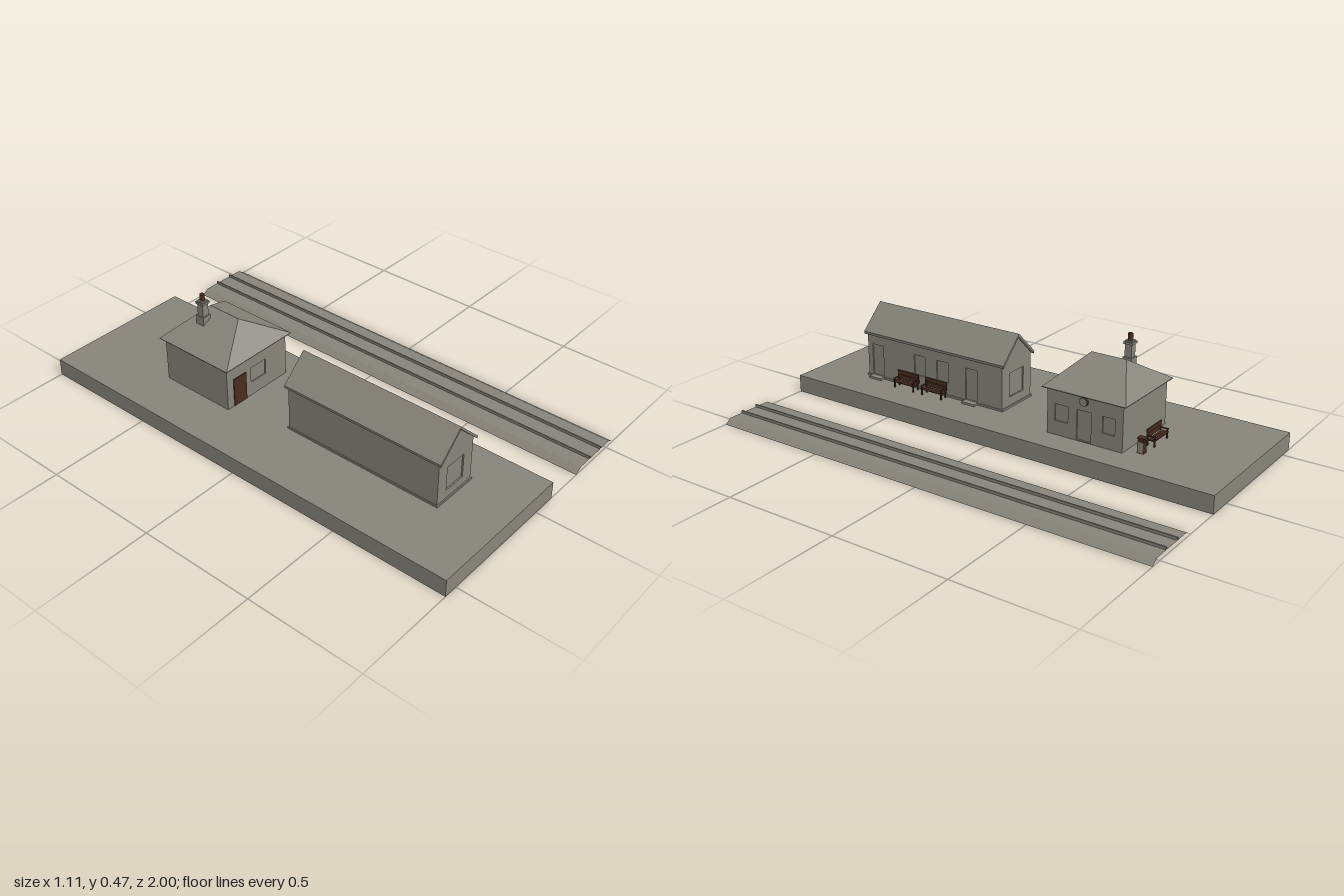
import * as THREE from 'three';
import { ConvexGeometry } from 'three/addons/geometries/ConvexGeometry.js';

const stone = new THREE.MeshStandardMaterial({ color: 0x86847a, side: THREE.DoubleSide });
stone.name = 'weathered stone';
const wood = new THREE.MeshStandardMaterial({ color: 0x4a2c20 });
wood.name = 'dark brown';

const GROUND = 0.075; // platform surface
const SKIN = 0.006; // depth of window and door recesses

function add(parent, name, geometry, material, x = 0, y = 0, z = 0) {
  const mesh = new THREE.Mesh(geometry, material);
  mesh.name = name;
  mesh.position.set(x, y, z);
  parent.add(mesh);
  return mesh;
}

// Box given by its lowest and highest corners
function block(parent, name, material, x0, x1, y0, y1, z0, z1) {
  return add(parent, name, new THREE.BoxGeometry(x1 - x0, y1 - y0, z1 - z0), material,
    (x0 + x1) / 2, (y0 + y1) / 2, (z0 + z1) / 2);
}

// Prism from an outline, with rectangular openings [x0, x1, y0, y1]
function prism(points, depth, openings = []) {
  const shape = new THREE.Shape(points.map(p => new THREE.Vector2(...p)));
  for (const [a, b, c, d] of openings) {
    shape.holes.push(new THREE.Path([[a, c], [a, d], [b, d], [b, c]].map(p => new THREE.Vector2(...p))));
  }
  return new THREE.ExtrudeGeometry(shape, { depth, bevelEnabled: false });
}

// Wall skin facing outwards at the given angle and distance from the centre
function wall(parent, name, points, openings, angle, distance) {
  const mesh = add(parent, name, prism(points, SKIN, openings), stone);
  mesh.rotation.y = angle;
  mesh.translateZ(distance - SKIN);
}

const rect = (halfWidth, h) => [[-halfWidth, 0], [halfWidth, 0], [halfWidth, h], [-halfWidth, h]];
const gable = (halfWidth, h, top) =>
  [[-halfWidth, 0], [halfWidth, 0], [halfWidth, h], [0, top], [-halfWidth, h]];

function createPlatform() {
  // Hollow slab, open underneath
  const g = new THREE.BoxGeometry(0.665, GROUND, 2);
  const index = Array.from(g.index.array);
  index.splice(18, 6);
  g.setIndex(index);
  g.clearGroups();
  const mesh = new THREE.Mesh(g, stone);
  mesh.name = 'platform';
  mesh.position.set(-0.2275, GROUND / 2, 0);
  return mesh;
}

function createTrack() {
  // Open sheet: sloped ballast with two raised rails
  const profile = [[0.28, 0], [0.31, 0.02]];
  for (const x of [0.375, 0.455]) {
    profile.push([x - 0.003, 0.02], [x - 0.003, 0.031], [x + 0.003, 0.031], [x + 0.003, 0.02]);
  }
  profile.push([0.52, 0.02], [0.55, 0]);
  const vertices = [];
  for (let i = 0; i < profile.length - 1; i++) {
    const [a, b] = [profile[i], profile[i + 1]];
    vertices.push(...a, 1, ...b, 1, ...b, -1, ...a, 1, ...b, -1, ...a, -1);
  }
  const g = new THREE.BufferGeometry();
  g.setAttribute('position', new THREE.Float32BufferAttribute(vertices, 3));
  g.computeVertexNormals();
  const mesh = new THREE.Mesh(g, stone);
  mesh.name = 'track';
  return mesh;
}

function createWaitingRoom() {
  const room = new THREE.Group();
  room.name = 'waitingRoom';
  room.position.set(-0.18, GROUND, 0.4);
  const hw = 0.103, hl = 0.355, eave = 0.198, top = 0.296;

  const inner = prism(gable(hw - SKIN, eave, top - 0.006), 2 * (hl - SKIN));
  add(room, 'core', inner, stone, 0, 0, -(hl - SKIN));
  const endWindow = [[-0.05, 0.05, 0.045, 0.15]];
  wall(room, 'frontGable', gable(hw, eave, top), endWindow, 0, hl);
  wall(room, 'backGable', gable(hw, eave, top), endWindow, Math.PI, hl);
  wall(room, 'plainWall', rect(hl - SKIN, eave), [], -Math.PI / 2, hw);
  // Two doorways with two windows between them
  wall(room, 'doorWall', rect(hl - SKIN, eave), [
    [-0.33, -0.27, 0.01, 0.15], [-0.1, -0.04, 0.06, 0.15],
    [0.02, 0.08, 0.06, 0.15], [0.17, 0.23, 0.01, 0.15],
  ], Math.PI / 2, hw);

  block(room, 'frontPlinth', stone, -0.107, 0.107, 0, 0.008, -0.36, 0.36);
  for (const z of [-0.2, 0.3]) block(room, 'doorStep', stone, 0.1, 0.13, 0, 0.009, z - 0.032, z + 0.032);

  const roof = prism([[-0.11, 0.191], [0, 0.297], [0.11, 0.191],
    [0.112, 0.203], [0, 0.309], [-0.112, 0.203]], 0.735);
  add(room, 'gableRoof', roof, stone, 0, 0, -0.3675);
  return room;
}

function createHouse() {
  const house = new THREE.Group();
  house.name = 'stationHouse';
  house.position.set(-0.182, GROUND, -0.387);
  const h = 0.195, r = 0.17;

  block(house, 'core', stone, -r + SKIN, r - SKIN, 0, h, -r + SKIN, r - SKIN);
  wall(house, 'frontWall', rect(r, h), [[-0.035, 0.05, 0.06, 0.13]], 0, r);
  wall(house, 'backWall', rect(r, h), [], Math.PI, r);
  wall(house, 'leftWall', rect(r - SKIN, h), [
    [-0.135, -0.075, 0.06, 0.13], [-0.035, 0.03, 0.004, 0.13], [0.08, 0.135, 0.06, 0.13],
  ], Math.PI / 2, r);
  wall(house, 'rightWall', rect(r - SKIN, h), [], -Math.PI / 2, r);
  block(house, 'frontDoor', wood, -0.135, -0.065, 0.002, 0.128, r - 0.002, r + 0.004);

  // Hipped roof
  const corners = [];
  for (const z of [-1, 1]) {
    for (const x of [-1, 1]) {
      corners.push(new THREE.Vector3(x * 0.186, 0.193, z * 0.187), new THREE.Vector3(x * 0.186, 0.196, z * 0.187));
    }
    corners.push(new THREE.Vector3(0, 0.307, z * 0.078));
  }
  add(house, 'hippedRoof', new ConvexGeometry(corners), stone);

  // Chimney
  const chimney = new THREE.Group();
  chimney.name = 'chimney';
  chimney.position.set(-0.058, 0, -0.06);
  house.add(chimney);
  for (const [name, half, y0, y1] of [['base', 0.02, 0.2, 0.298], ['stack', 0.015, 0.298, 0.355],
    ['cap', 0.02, 0.352, 0.361], ['capTop', 0.016, 0.361, 0.366]]) {
    block(chimney, name, stone, -half, half, y0, y1, -half, half);
  }
  add(chimney, 'pot', new THREE.CylinderGeometry(0.0105, 0.0105, 0.03, 12), wood, 0, 0.379, 0);

  // Wall clock above the doorway
  const rim = add(house, 'clockRim', new THREE.CylinderGeometry(0.018, 0.018, 0.009, 24), wood, r + 0.0045, 0.171, 0.002);
  const face = add(house, 'clockFace', new THREE.CylinderGeometry(0.016, 0.016, 0.001, 24), stone, r + 0.0095, 0.171, 0.002);
  rim.rotation.z = face.rotation.z = -Math.PI / 2;
  return house;
}

function createBench(x, z, angle) {
  // Faces +x, its back at x = 0
  const bench = new THREE.Group();
  bench.name = 'bench';
  bench.position.set(x, GROUND, z);
  bench.rotation.y = angle;
  for (let i = 0; i < 3; i++) {
    block(bench, 'seatSlat', wood, 0.005 + i * 0.011, 0.015 + i * 0.011, 0.024, 0.028, -0.057, 0.057);
  }
  for (const y of [0.031, 0.051]) block(bench, 'backSlat', wood, 0, 0.004, y, y + 0.018, -0.057, 0.057);
  for (const s of [-0.05, 0.05]) {
    block(bench, 'backPost', wood, 0.001, 0.005, 0, 0.067, s - 0.003, s + 0.003);
    block(bench, 'frontLeg', wood, 0.031, 0.036, 0, 0.04, s - 0.003, s + 0.003);
    block(bench, 'armrest', wood, 0.002, 0.039, 0.039, 0.043, s - 0.003, s + 0.003);
  }
  return bench;
}

function createBin() {
  const bin = new THREE.Group();
  bin.name = 'litterBin';
  bin.position.set(-0.061, GROUND, -0.614);
  block(bin, 'body', wood, -0.012, 0.012, 0, 0.05, -0.014, 0.014);
  for (const s of [-1, 1]) {
    add(bin, 'sidePanel', new THREE.BoxGeometry(0.001, 0.044, 0.026), stone, s * 0.0125, 0.024, 0);
    block(bin, 'lidPost', wood, s * 0.01 - 0.002, s * 0.01 + 0.002, 0.05, 0.06, -0.012, 0.012);
  }
  block(bin, 'lid', wood, -0.013, 0.013, 0.058, 0.064, -0.015, 0.015);
  return bin;
}

export function createModel() {
  const model = new THREE.Group();
  model.name = 'railwayStation';
  model.add(createPlatform(), createTrack(), createWaitingRoom(), createHouse(), createBin());
  model.add(createBench(-0.064, 0.522, 0), createBench(-0.064, 0.374, 0));
  model.add(createBench(-0.181, -0.597, Math.PI / 2));
  return model;
}
